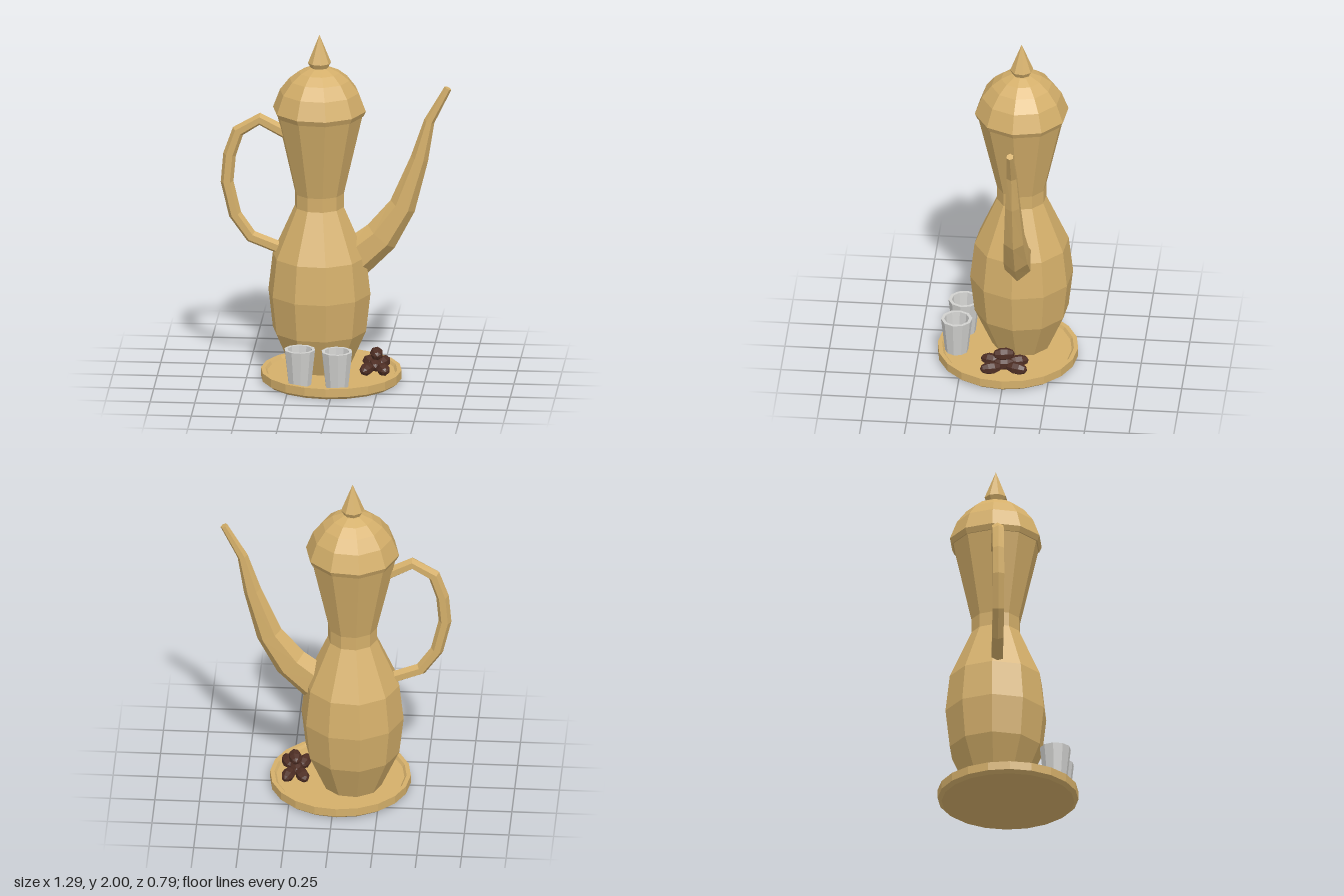
import * as THREE from 'three';

const mat = (name, color) => {
  const m = new THREE.MeshStandardMaterial({ color, flatShading: true });
  m.name = name;
  return m;
};

// Turned part: profile of [radius, y] from bottom to top
function turned(name, profile, sides, phase, material) {
  const pts = profile.map(([r, y]) => new THREE.Vector2(r, y));
  const mesh = new THREE.Mesh(new THREE.LatheGeometry(pts, sides, phase), material);
  mesh.name = name;
  return mesh;
}

// Six-sided tapering tube along stations [x, y, in-plane radius, half depth]
function hexTube(name, stations, z, material) {
  const pos = [], index = [], last = stations.length - 1;
  stations.forEach(([x, y, a, w], i) => {
    const p = stations[Math.max(i - 1, 0)], q = stations[Math.min(i + 1, last)];
    const len = Math.hypot(q[0] - p[0], q[1] - p[1]);
    const nx = -(q[1] - p[1]) / len, ny = (q[0] - p[0]) / len;
    for (let j = 0; j < 6; j++) {
      const t = j * Math.PI / 3, u = a * Math.cos(t), v = w * Math.sin(t) / 0.866;
      pos.push(x + nx * u, y + ny * u, z + v);
    }
  });
  for (let i = 0; i < last; i++) {
    for (let j = 0; j < 6; j++) {
      const k = (j + 1) % 6, A = i * 6 + j, B = i * 6 + k;
      index.push(A, B, A + 6, B, B + 6, A + 6);
    }
  }
  // End caps
  for (let j = 1; j < 5; j++) {
    index.push(0, j + 1, j, last * 6, last * 6 + j, last * 6 + j + 1);
  }
  const g = new THREE.BufferGeometry();
  g.setAttribute('position', new THREE.Float32BufferAttribute(pos, 3));
  g.setIndex(index);
  g.computeVertexNormals();
  const mesh = new THREE.Mesh(g, material);
  mesh.name = name;
  return mesh;
}

export function createModel() {
  const root = new THREE.Group();
  root.name = 'coffeeSet';
  const brass = mat('brass', 0xd4af6a);
  const silver = mat('silver', 0xd0d0ce);
  const dateBrown = mat('dateBrown', 0x4e2e24);

  // Round tray with a low rim
  const tray = turned('tray', [
    [0, 0.005], [0.372, 0.005], [0.394, 0.022], [0.394, 0.07],
    [0.37, 0.07], [0.358, 0.055], [0, 0.055],
  ], 20, 0, brass);
  tray.position.set(-0.024, 0, 0);
  root.add(tray);

  // Pot: body, lid and finial share one axis
  const pot = new THREE.Group();
  pot.name = 'pot';
  pot.position.set(-0.096, 0, -0.07);
  const phase = THREE.MathUtils.degToRad(12);
  pot.add(turned('body', [
    [0, 0.056], [0.165, 0.056], [0.265, 0.28], [0.29, 0.5], [0.265, 0.715],
    [0.139, 1.0], [0.139, 1.08], [0.245, 1.54], [0, 1.54],
  ], 10, phase, brass));
  pot.add(turned('lid', [
    [0, 1.535], [0.25, 1.535], [0.264, 1.565], [0.224, 1.67],
    [0.17, 1.74], [0.115, 1.783], [0.055, 1.81], [0, 1.815],
  ], 10, phase, brass));
  pot.add(turned('finial', [
    [0, 1.8], [0.047, 1.805], [0.065, 1.838], [0, 2.0],
  ], 8, phase, brass));
  root.add(pot);

  // Curved spout on the pot's left
  root.add(hexTube('spout', [
    [0.10, 0.70, 0.115, 0.073], [0.25, 0.83, 0.1, 0.067], [0.37, 1.01, 0.075, 0.055],
    [0.465, 1.29, 0.05, 0.04], [0.52, 1.51, 0.03, 0.028], [0.625, 1.705, 0.021, 0.018],
  ], -0.07, brass));

  // Loop handle on the pot's right
  root.add(hexTube('handle', [
    [-0.26, 1.41], [-0.431, 1.5], [-0.553, 1.426], [-0.6, 1.289],
    [-0.614, 1.13], [-0.569, 0.94], [-0.479, 0.813], [-0.28, 0.735],
  ].map(([x, y]) => [x, y, 0.036, 0.032]), -0.07, brass));

  // Two small hollow cups
  [[-0.18, 0.26], [0.03, 0.283]].forEach(([x, z]) => {
    const cup = turned('cup', [
      [0, 0.056], [0.065, 0.056], [0.088, 0.26], [0.07, 0.26], [0.052, 0.09], [0, 0.09],
    ], 10, 0.15, silver);
    cup.position.set(x, 0, z);
    root.add(cup);
  });

  // Pile of dates: x, y, z, yaw
  const dateGeo = new THREE.SphereGeometry(1, 7, 5).rotateX(Math.PI / 2);
  const dates = new THREE.Group();
  dates.name = 'dates';
  [
    [0.18, 0.095, 0.075, -0.25], [0.272, 0.095, 0.07, 0.3], [0.222, 0.098, 0, 0.1],
    [0.185, 0.095, -0.075, 0.35], [0.262, 0.095, -0.075, -0.3], [0.23, 0.165, 0, 0.15],
  ].forEach(([x, y, z, yaw]) => {
    const date = new THREE.Mesh(dateGeo, dateBrown);
    date.name = 'date';
    date.scale.set(0.038, 0.036, 0.062);
    date.position.set(x, y, z);
    date.rotation.y = yaw;
    dates.add(date);
  });
  root.add(dates);
  return root;
}
